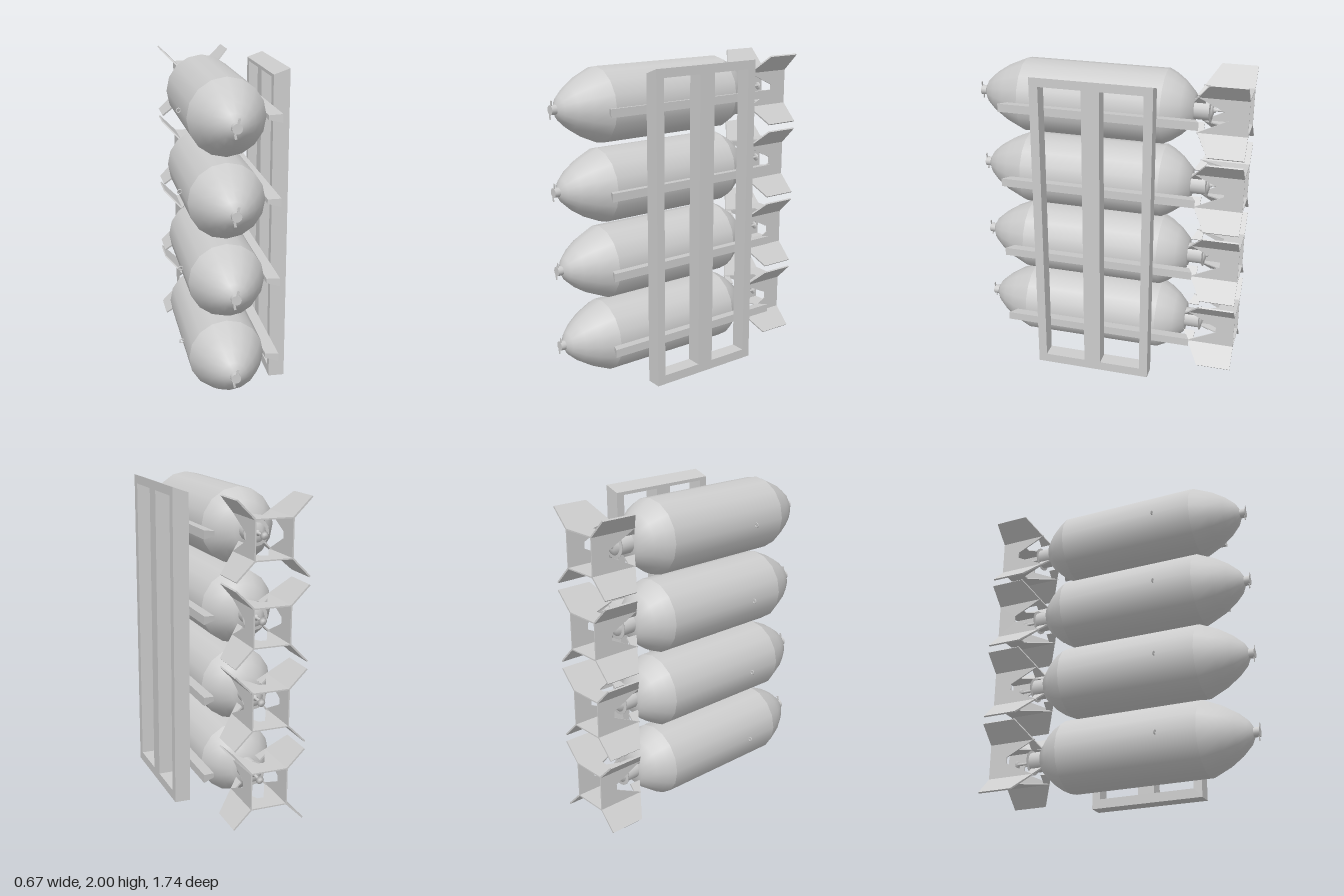
import * as THREE from 'three';

const grey = new THREE.MeshStandardMaterial({ color: 0xcccccc });
grey.name = 'plain grey';

function mesh(name, geometry, parent) {
  const m = new THREE.Mesh(geometry, grey);
  m.name = name;
  parent.add(m);
  return m;
}

// Surface of revolution about z; points are [radius, z] from back to front
function turned(points, sides = 16) {
  const g = new THREE.LatheGeometry(points.map(([r, z]) => new THREE.Vector2(r, z)), sides);
  return g.rotateX(Math.PI / 2);
}

// Flat plate in the (x, z) plane, centred on y = 0
function plate(points, thickness) {
  const shape = new THREE.Shape(points.map(([x, z]) => new THREE.Vector2(x, z)));
  const g = new THREE.ExtrudeGeometry(shape, { depth: thickness, bevelEnabled: false });
  return g.translate(0, 0, -thickness / 2).rotateX(Math.PI / 2);
}

function makeTail(parent) {
  const tail = new THREE.Group();
  tail.name = 'tail';
  parent.add(tail);
  mesh('tailCollar', turned([[0, -0.64], [0.03, -0.64], [0.065, -0.627], [0.065, -0.5]]), tail);
  mesh('tailRim', turned([[0, -0.632], [0.08, -0.628], [0.08, -0.622], [0, -0.618]]), tail);
  mesh('tailPin', turned([[0, -0.74], [0.009, -0.74], [0.009, -0.655], [0.018, -0.65], [0.018, -0.63]], 8), tail);
  mesh('tailPinCap', turned([[0, -0.75], [0.014, -0.747], [0.027, -0.735], [0, -0.733]], 8), tail);

  // Four diagonal fins, and four notched plates that box them together
  const fin = plate([[0.09, -0.525], [0.32, -0.645], [0.32, -0.87], [0.16, -0.87], [0.16, -0.6], [0.09, -0.6]], 0.01);
  const side = plate([[-0.115, -0.555], [-0.02, -0.75], [0.02, -0.75], [0.115, -0.555],
    [0.115, -0.87], [-0.115, -0.87]], 0.008).translate(0, 0.115, 0);
  for (let i = 0; i < 4; i++) {
    mesh('fin', fin, tail).rotation.z = Math.PI / 4 + i * Math.PI / 2;
    mesh('boxPlate', side, tail).rotation.z = i * Math.PI / 2;
  }
}

function makeBomb() {
  const bomb = new THREE.Group();
  bomb.name = 'bomb';
  const R = 0.233;
  mesh('body', turned([[R, -0.35], [R, 0.555]]), bomb);
  mesh('nose', turned([[R, 0.555], [0.182, 0.67], [0.13, 0.75], [0.075, 0.81], [0.03, 0.835], [0, 0.837]]), bomb);
  mesh('tailCone', turned([[0, -0.527], [0.098, -0.525], [0.165, -0.46], [0.208, -0.4], [R, -0.35]]), bomb);

  // Nose fuse with its two small vanes
  const fuse = new THREE.CylinderGeometry(0.03, 0.03, 0.05, 12).rotateX(Math.PI / 2);
  mesh('fuse', fuse, bomb).position.z = 0.845;
  for (const s of [1, -1]) {
    const vane = mesh('fuseVane', new THREE.BoxGeometry(0.014, 0.03, 0.004), bomb);
    vane.position.set(s * 0.01, s * 0.043, 0.866);
    vane.rotation.z = -s * 0.2;
  }

  // Carrying lugs: one on the outer side, two beneath the rail
  const lug = new THREE.TorusGeometry(0.013, 0.004, 6, 12);
  for (const [x, z] of [[-R - 0.011, 0.31], [R + 0.008, 0.31], [R + 0.008, -0.07]]) {
    mesh('lug', lug, bomb).position.set(x, 0, z);
  }
  makeTail(bomb);
  return bomb;
}

// Tapered bar joining a bomb to the frame, wider toward the frame
function railGeometry() {
  const g = new THREE.BoxGeometry(0.075, 1, 1);
  const p = g.attributes.position;
  for (let i = 0; i < p.count; i++) {
    const outer = p.getX(i) > 0;
    const front = p.getZ(i) > 0;
    p.setY(i, Math.sign(p.getY(i)) * (outer ? 0.026 : 0.014));
    p.setZ(i, front ? (outer ? 0.645 : 0.61) : (outer ? -0.6 : -0.57));
  }
  g.computeVertexNormals();
  return g.translate(0.1975, 0, 0);
}

// Upright frame with two long openings and a sloping top
function frameGeometry() {
  const rect = (Type, a, b, y0, y1) => new Type([[a, y0], [b, y0], [b, y1], [a, y1]]
    .map(([x, y]) => new THREE.Vector2(x, y)));
  const shape = rect(THREE.Shape, -0.4, 0.35, 0, 2);
  shape.holes.push(rect(THREE.Path, -0.345, -0.08, 0.06, 1.945));
  shape.holes.push(rect(THREE.Path, 0.03, 0.295, 0.06, 1.945));
  const g = new THREE.ExtrudeGeometry(shape, { depth: 0.1, bevelEnabled: false });
  g.rotateY(Math.PI / 2).translate(0.235, 0, 0);
  const p = g.attributes.position;
  for (let i = 0; i < p.count; i++) {
    if (p.getY(i) > 1.99 && p.getX(i) < 0.3) p.setY(i, 1.965);
  }
  g.computeVertexNormals();
  return g;
}

export function createModel() {
  const model = new THREE.Group();
  model.name = 'bombRack';
  mesh('frame', frameGeometry(), model);
  const rail = railGeometry();
  for (let i = 0; i < 4; i++) {
    const y = 0.255 + i * 0.5;
    const bomb = makeBomb();
    bomb.position.set(-0.075, y, 0);
    model.add(bomb);
    mesh('rail', rail, model).position.y = y;
  }
  return model;
}
